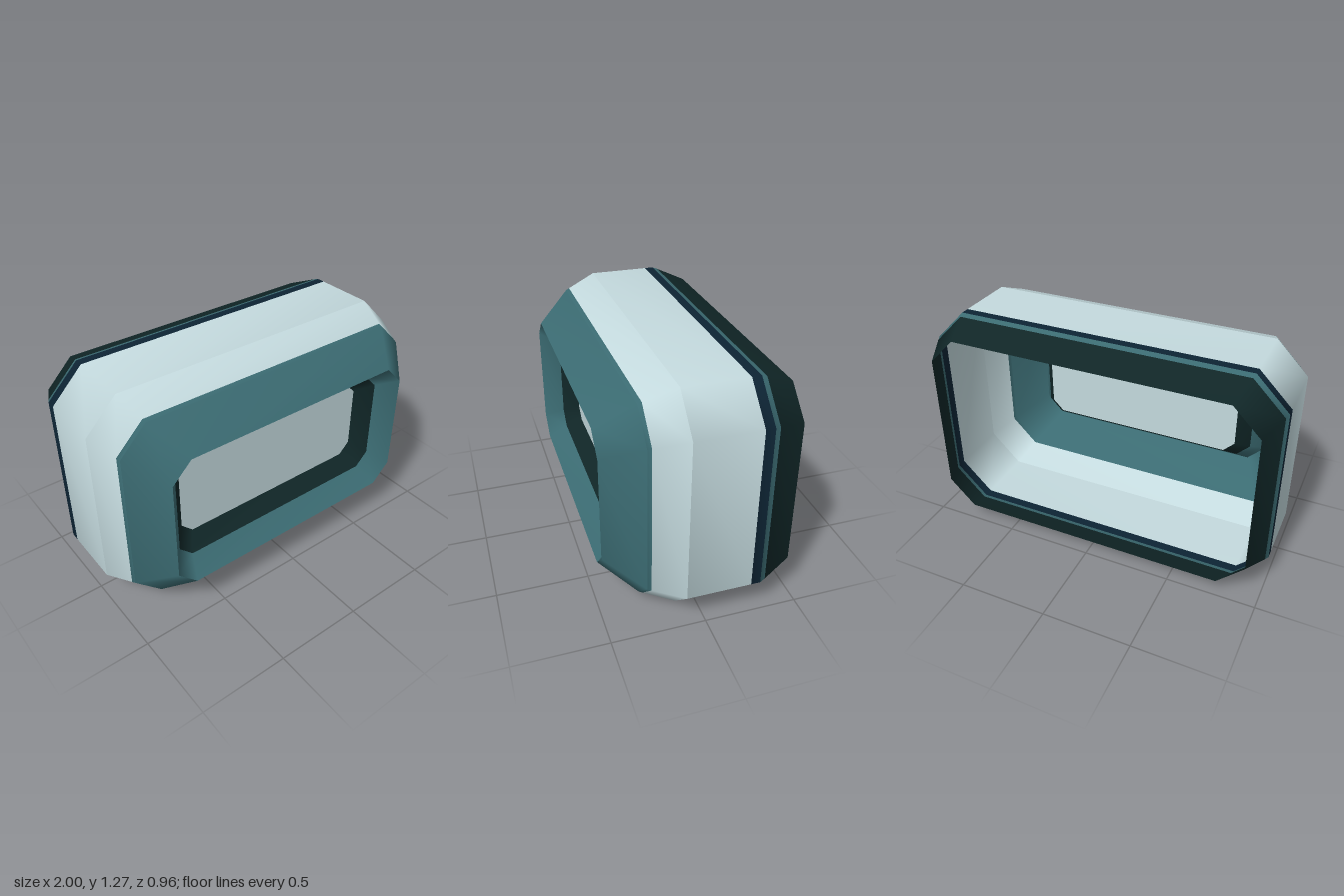
import * as THREE from 'three';

const CENTER_Y = 0.635;

function material(name, color) {
  const m = new THREE.MeshStandardMaterial({ color, side: THREE.DoubleSide });
  m.name = name;
  return m;
}

// Corners of a chamfered rectangle, counter-clockwise seen from the front
function chamferedRect([, w, h, c]) {
  return [
    [w, -h + c], [w, h - c], [w - c, h], [-w + c, h],
    [-w, h - c], [-w, -h + c], [-w + c, -h], [w - c, -h],
  ];
}

// One band of the shell between two sections, smooth around the ring
function band(a, b) {
  const positions = [];
  const index = [];
  for (const section of [a, b]) {
    for (const [x, y] of chamferedRect(section)) positions.push(x, y + CENTER_Y, section[0]);
  }
  for (let i = 0; i < 8; i++) {
    const j = (i + 1) % 8;
    index.push(i, j, j + 8, i, j + 8, i + 8);
  }
  const g = new THREE.BufferGeometry();
  g.setAttribute('position', new THREE.Float32BufferAttribute(positions, 3));
  g.setIndex(index);
  g.computeVertexNormals();
  return g;
}

export function createModel() {
  const light = material('pale blue grey', 0xc4dade);
  const teal = material('teal', 0x3b6b72);
  const dark = material('dark green', 0x102627);
  const navy = material('navy', 0x0d2434);

  // Sections: z, half width, half height, corner chamfer.
  // They run from the open back to the front rim, then into the recess.
  const sections = [
    [-0.48, 0.92, 0.555, 0.15],
    [-0.32, 0.988, 0.624, 0.175],
    [-0.29, 1, 0.635, 0.18],
    [-0.24, 1, 0.635, 0.18],
    [0.105, 1, 0.635, 0.18],
    [0.27, 0.935, 0.567, 0.155],
    [0.29, 0.927, 0.557, 0.15],
    [0.48, 0.77, 0.404, 0.11],
    [0.37, 0.69, 0.319, 0.078],
    [0.28, 0.615, 0.25, 0.066],
  ];
  const bands = [
    ['rearRim', dark],
    ['rearTrimLine', teal],
    ['rearStripe', navy],
    ['body', light],
    ['bodyFrontBevel', light],
    ['frontCollarEdge', teal],
    ['frontCollar', teal],
    ['recessBevel', teal],
    ['windowFrame', dark],
  ];

  const group = new THREE.Group();
  group.name = 'windowedShell';
  bands.forEach(([name, mat], i) => {
    const mesh = new THREE.Mesh(band(sections[i], sections[i + 1]), mat);
    mesh.name = name;
    group.add(mesh);
  });

  // Flat panel closing the recess
  const last = sections[sections.length - 1];
  const outline = chamferedRect(last).map(([x, y]) => new THREE.Vector2(x, y));
  const panel = new THREE.Mesh(new THREE.ShapeGeometry(new THREE.Shape(outline)), light);
  panel.name = 'windowPanel';
  panel.position.set(0, CENTER_Y, last[0]);
  group.add(panel);

  return group;
}
